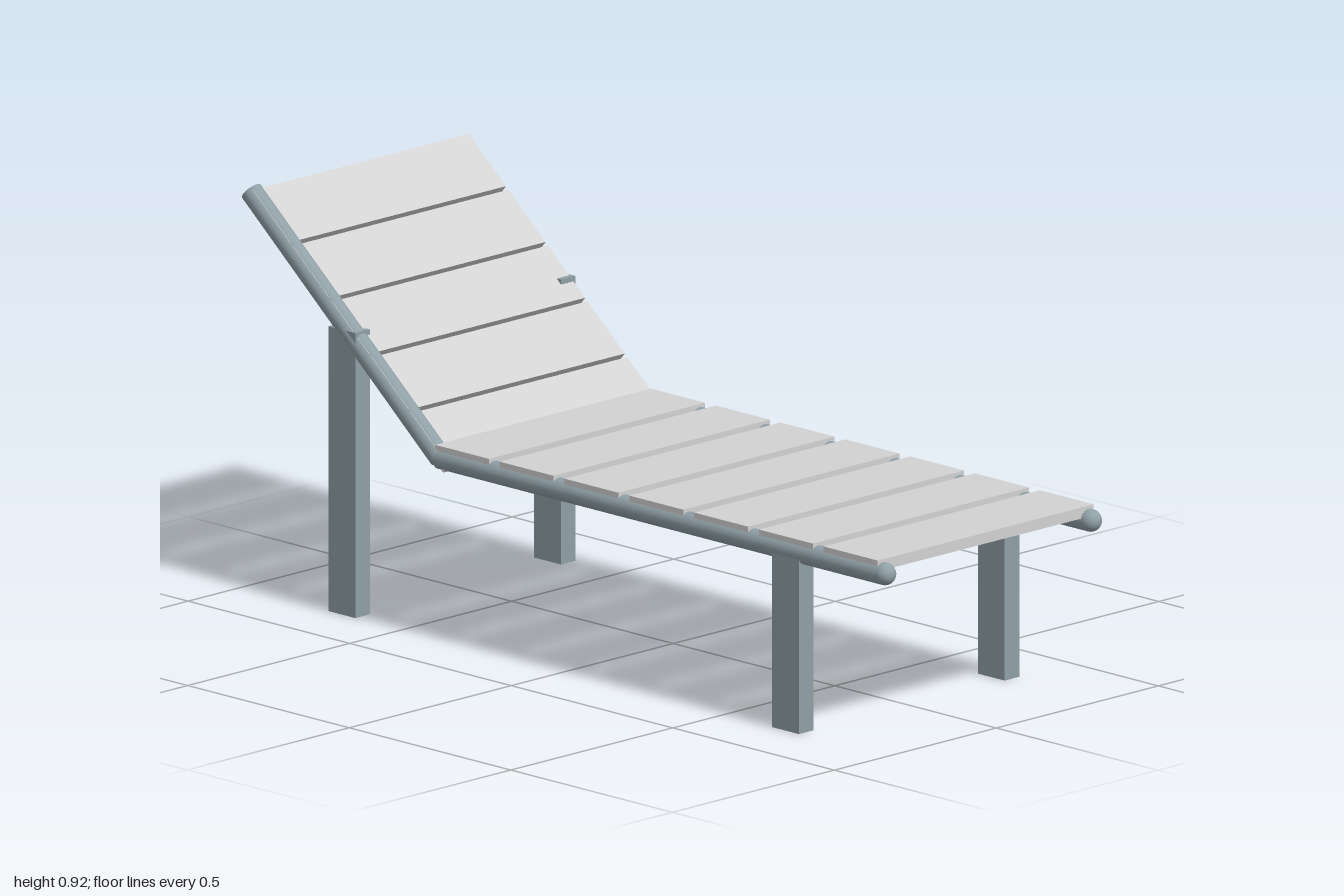
import * as THREE from 'three';

export function createModel() {
  const model = new THREE.Group();
  const slatMat = new THREE.MeshStandardMaterial({ name: 'light grey slats', color: 0xd2d2d2 });
  const frameMat = new THREE.MeshStandardMaterial({ name: 'blue grey frame', color: 0x90a0a7 });

  const RIGHT = -0.319, LEFT = 0.316;    // x of the two side rails
  const R = 0.025, RAIL_Y = 0.405, HINGE_Z = -0.4;
  const SLAT_W = 0.667, SLAT_T = 0.025;

  function add(parent, name, geometry, material, x, y, z) {
    const mesh = new THREE.Mesh(geometry, material);
    mesh.name = name;
    mesh.position.set(x, y, z);
    parent.add(mesh);
    return mesh;
  }
  // Round bar running along z from z0 to z1
  function rail(parent, name, x, y, z0, z1) {
    const geo = new THREE.CylinderGeometry(R, R, Math.abs(z1 - z0), 24).rotateX(Math.PI / 2);
    add(parent, name, geo, frameMat, x, y, (z0 + z1) / 2);
  }

  // Seat: rails with rounded front ends, and legs
  const frame = new THREE.Group();
  frame.name = 'frame';
  model.add(frame);
  for (const [side, x] of [['right', RIGHT], ['left', LEFT]]) {
    rail(frame, side + 'SeatRail', x, RAIL_Y, HINGE_Z, 1 - R);
    add(frame, side + 'RailEnd', new THREE.SphereGeometry(R, 24, 16), frameMat, x, RAIL_Y, 1 - R);
    for (const [end, z, h] of [['Front', 0.69, 0.4], ['Rear', -0.683, 0.645]]) {
      add(frame, side + end + 'Leg', new THREE.BoxGeometry(0.045, h, 0.083), frameMat, x, h / 2, z);
    }
  }

  // Seat slats
  const seat = new THREE.Group();
  seat.name = 'seat';
  model.add(seat);
  for (let i = 0; i < 7; i++) {
    add(seat, 'seatSlat', new THREE.BoxGeometry(SLAT_W, SLAT_T, 0.167), slatMat,
      -0.0015, 0.4245, 0.885 - i * 0.2005);
  }

  // Backrest: hinged group tilted 40 degrees, one rail on the right only
  const back = new THREE.Group();
  back.name = 'backrest';
  back.position.set(0, RAIL_Y, HINGE_Z);
  back.rotation.x = THREE.MathUtils.degToRad(40);
  model.add(back);
  rail(back, 'backRail', RIGHT, 0, 0, -0.764);
  for (let i = 0; i < 5; i++) {
    add(back, 'backSlat', new THREE.BoxGeometry(SLAT_W, SLAT_T, 0.15), slatMat,
      -0.0015, 0.0075, -0.04 - i * 0.16);
  }
  return model;
}
